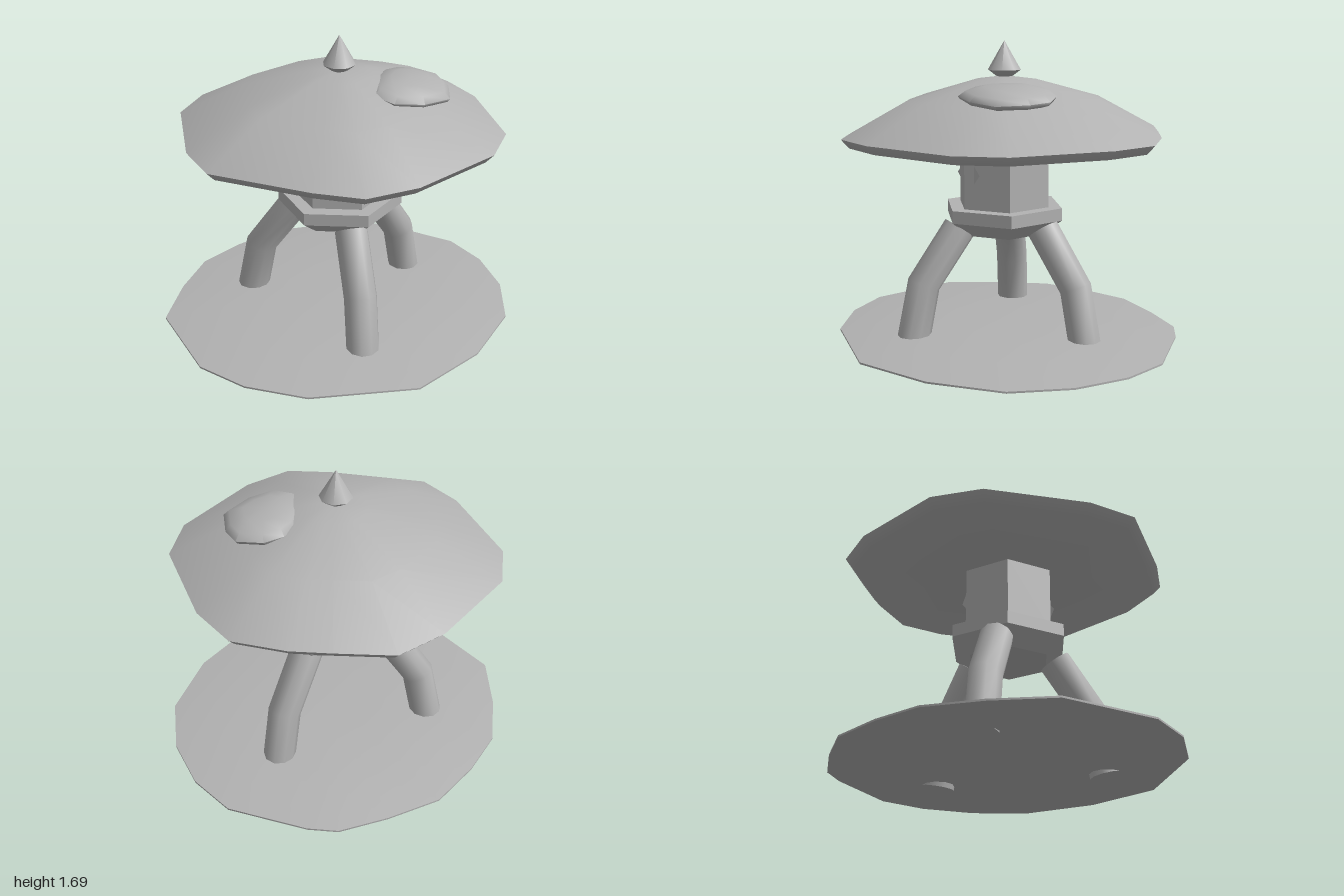
import * as THREE from 'three';
import { toCreasedNormals } from 'three/addons/utils/BufferGeometryUtils.js';

const stone = new THREE.MeshStandardMaterial({ color: 0xb2b2b2, side: THREE.DoubleSide });
stone.name = 'stone grey';

const rad = THREE.MathUtils.degToRad;

function part(name, geometry, x = 0, y = 0, z = 0) {
  const mesh = new THREE.Mesh(geometry, stone);
  mesh.name = name;
  mesh.position.set(x, y, z);
  return mesh;
}

// Stack scaled copies of an [x, z] outline; levels are [scale, height] from the bottom up
function loft(outline, levels, crease = 40) {
  const n = outline.length;
  const positions = [], index = [];
  for (const [s, y] of levels) {
    for (const [x, z] of outline) positions.push(x * s, y, z * s);
  }
  for (let i = 0; i < levels.length - 1; i++) {
    for (let j = 0; j < n; j++) {
      const a = i * n + j, b = i * n + (j + 1) % n, c = b + n, d = a + n;
      if (levels[i + 1][0] > 0) index.push(a, d, c);
      if (levels[i][0] > 0) index.push(a, c, b);
    }
  }
  const g = new THREE.BufferGeometry();
  g.setAttribute('position', new THREE.Float32BufferAttribute(positions, 3));
  g.setIndex(index);
  return toCreasedNormals(g, rad(crease));
}

function polygon(sides, start = 0) {
  return Array.from({ length: sides }, (_, i) => {
    const t = rad(start) + (i / sides) * Math.PI * 2;
    return [Math.cos(t), Math.sin(t)];
  });
}

// Bent leg: a cylinder whose three rings are moved onto [radius, height, tilt]
function legGeometry() {
  const rings = [[0.555, 0.02, 12], [0.485, 0.36, 24], [0.27, 0.66, 35]];
  const g = new THREE.CylinderGeometry(0.092, 0.092, 2, 10, 2);
  const p = g.attributes.position;
  for (let i = 0; i < p.count; i++) {
    const [r, y, tilt] = rings[Math.round(p.getY(i)) + 1];
    const x = p.getX(i), t = rad(tilt);
    p.setXYZ(i, r + x * Math.cos(t), y + x * Math.sin(t), p.getZ(i));
  }
  return toCreasedNormals(g, rad(50));
}

export function createModel() {
  const model = new THREE.Group();
  model.name = 'stoneLantern';

  // Low uneven mound
  const groundOutline = [
    [1, -0.03], [0.945, 0.28], [0.78, 0.58], [0.43, 0.82], [-0.01, 0.947], [-0.57, 0.76],
    [-0.83, 0.525], [-0.98, 0.26], [-1, -0.28], [-0.8, -0.56], [-0.58, -0.785],
    [-0.315, -0.89], [-0.01, -0.957], [0.3, -0.89], [0.57, -0.8], [0.695, -0.685], [0.96, -0.31],
  ];
  model.add(part('ground', loft(groundOutline,
    [[0, 0.03], [1, 0.03], [1, 0.04], [0.7, 0.075], [0.3, 0.09], [0, 0.088]])));

  // Three splayed legs
  const leg = legGeometry();
  for (const angle of [-17, 103, 223]) {
    const mesh = part('leg', leg, -0.01, 0, 0);
    mesh.rotation.y = -rad(angle);
    model.add(mesh);
  }

  // Hexagonal collar and light chamber
  const hex = polygon(6, 30);
  model.add(part('collar', loft(hex,
    [[0, 0.62], [0.24, 0.62], [0.35, 0.705], [0.35, 0.775], [0, 0.775]]), -0.01, 0, 0));
  model.add(part('lightChamber', loft(hex,
    [[0, 0.76], [0.27, 0.76], [0.27, 1.14], [0, 1.14]]), -0.01, 0, 0));

  // Diamond windows cut by the front and back corners of the chamber
  for (const side of [1, -1]) {
    const window = part('window', new THREE.CircleGeometry(0.103, 4), -0.01, 0.97, side * 0.241);
    if (side < 0) window.rotation.y = Math.PI;
    model.add(window);
  }

  // Broad roof
  const roofOutline = [
    [0.88, -0.02], [0.73, 0.52], [0.52, 0.72], [-0.01, 0.875], [-0.3, 0.865], [-0.5, 0.695],
    [-0.88, 0.27], [-0.89, -0.01], [-0.74, -0.55], [-0.54, -0.75], [-0.01, -0.895],
    [0.28, -0.885], [0.52, -0.685], [0.685, -0.54], [0.87, -0.305],
  ];
  model.add(part('roof', loft(roofOutline,
    [[0, 1.13], [0.95, 1.13], [1, 1.18], [0.61, 1.37], [0.2, 1.475], [0, 1.5]], 55)));

  // Pointed finial
  model.add(part('finial', loft(polygon(8),
    [[0, 1.49], [0.045, 1.495], [0.092, 1.53], [0, 1.69]], 50), -0.01, 0, -0.005));

  // Flat lump resting on the roof slope
  const lumpOutline = [
    [0.23, 0.04], [0.145, 0.195], [-0.03, 0.23], [-0.19, 0.19], [-0.25, 0.07],
    [-0.16, -0.11], [-0.05, -0.21], [0.04, -0.23], [0.15, -0.2], [0.245, -0.08],
  ];
  const lump = part('roofLump', loft(lumpOutline,
    [[0, -0.055], [0.6, -0.045], [0.95, -0.015], [1, 0.005], [0.85, 0.035], [0.5, 0.06], [0, 0.065]], 80),
    0.3, 1.41, 0.2);
  lump.rotation.set(0.08, 0, -0.08);
  model.add(lump);

  return model;
}
